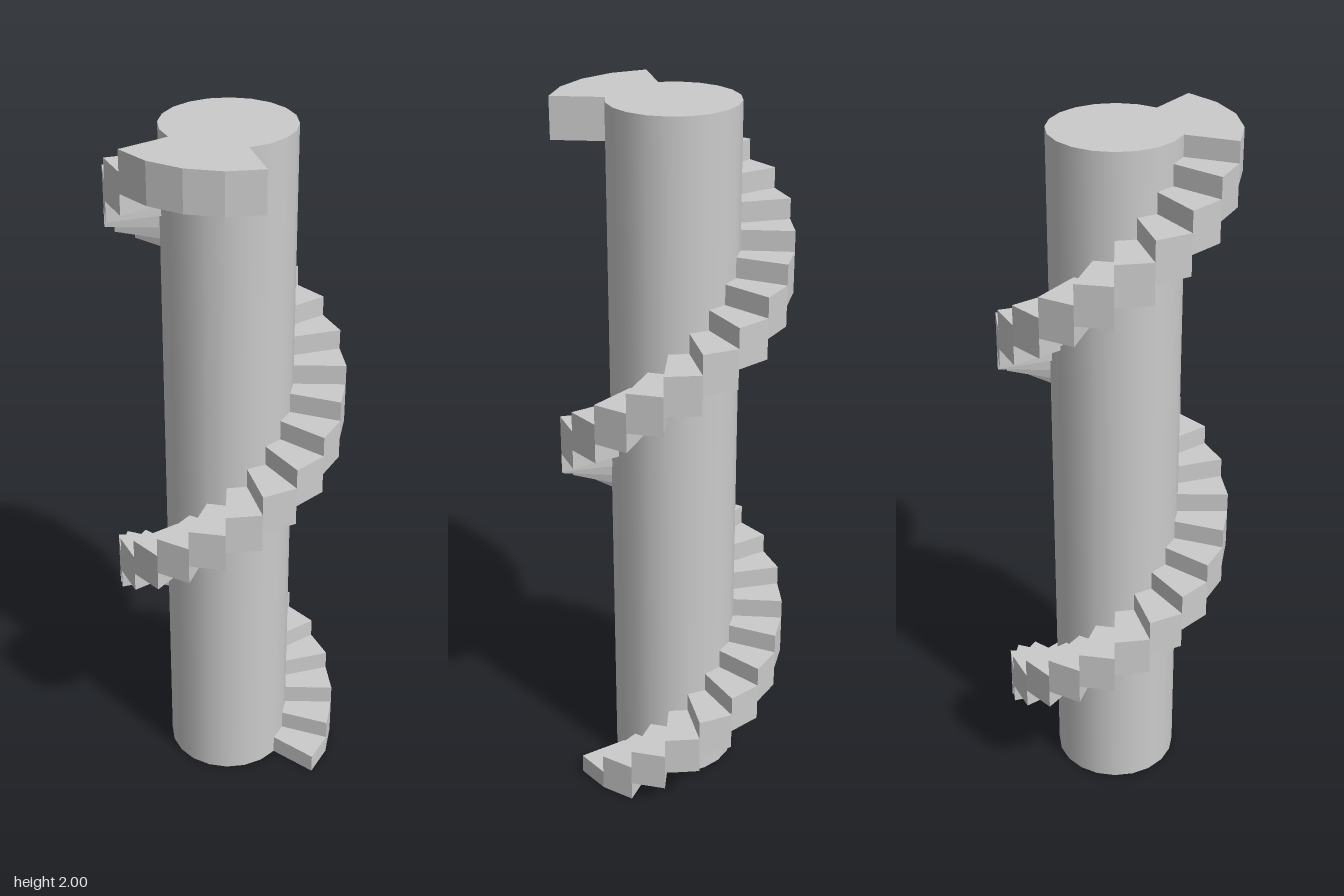
import * as THREE from 'three';

const RISES = 35;             // 34 steps plus the landing
const RISE = 2 / RISES;
const TURN = Math.PI / 10;    // 20 steps per full turn
const INNER = 0.177;
const OUTER = 0.32;

// Ring sector spanning `count` turns from `first`, between two heights
function sector(first, count, bottom, top, material, name) {
  const points = [];
  const add = (r, k) => points.push(new THREE.Vector2(r * Math.cos(k * TURN), r * Math.sin(k * TURN)));
  for (let k = first; k <= first + count; k++) add(OUTER, k);
  for (let k = first + count; k >= first; k--) add(INNER, k);
  const geometry = new THREE.ExtrudeGeometry(new THREE.Shape(points), { depth: top - bottom, bevelEnabled: false });
  geometry.rotateX(-Math.PI / 2);
  geometry.translate(0, bottom, 0);
  const mesh = new THREE.Mesh(geometry, material);
  mesh.name = name;
  return mesh;
}

export function createModel() {
  const model = new THREE.Group();
  model.name = 'spiralStaircase';
  const smooth = new THREE.MeshStandardMaterial({ color: 0xcccccc });
  const flat = new THREE.MeshStandardMaterial({ color: 0xcccccc, flatShading: true });

  // Central column
  const column = new THREE.Mesh(new THREE.CylinderGeometry(INNER, INNER, 2, 20), smooth);
  column.position.y = 1;
  column.name = 'column';
  model.add(column);

  // Wedge steps, each two rises thick, the first cut off at the ground
  const steps = new THREE.Group();
  steps.name = 'steps';
  for (let i = 0; i < RISES - 1; i++) {
    steps.add(sector(i - 1, 1, Math.max(0, i - 1) * RISE, (i + 1) * RISE, flat, `step${i + 1}`));
  }
  model.add(steps);

  // Landing, four steps wide, level with the column top
  model.add(sector(RISES - 2, 4, (RISES - 2) * RISE, 2, flat, 'landing'));
  return model;
}
